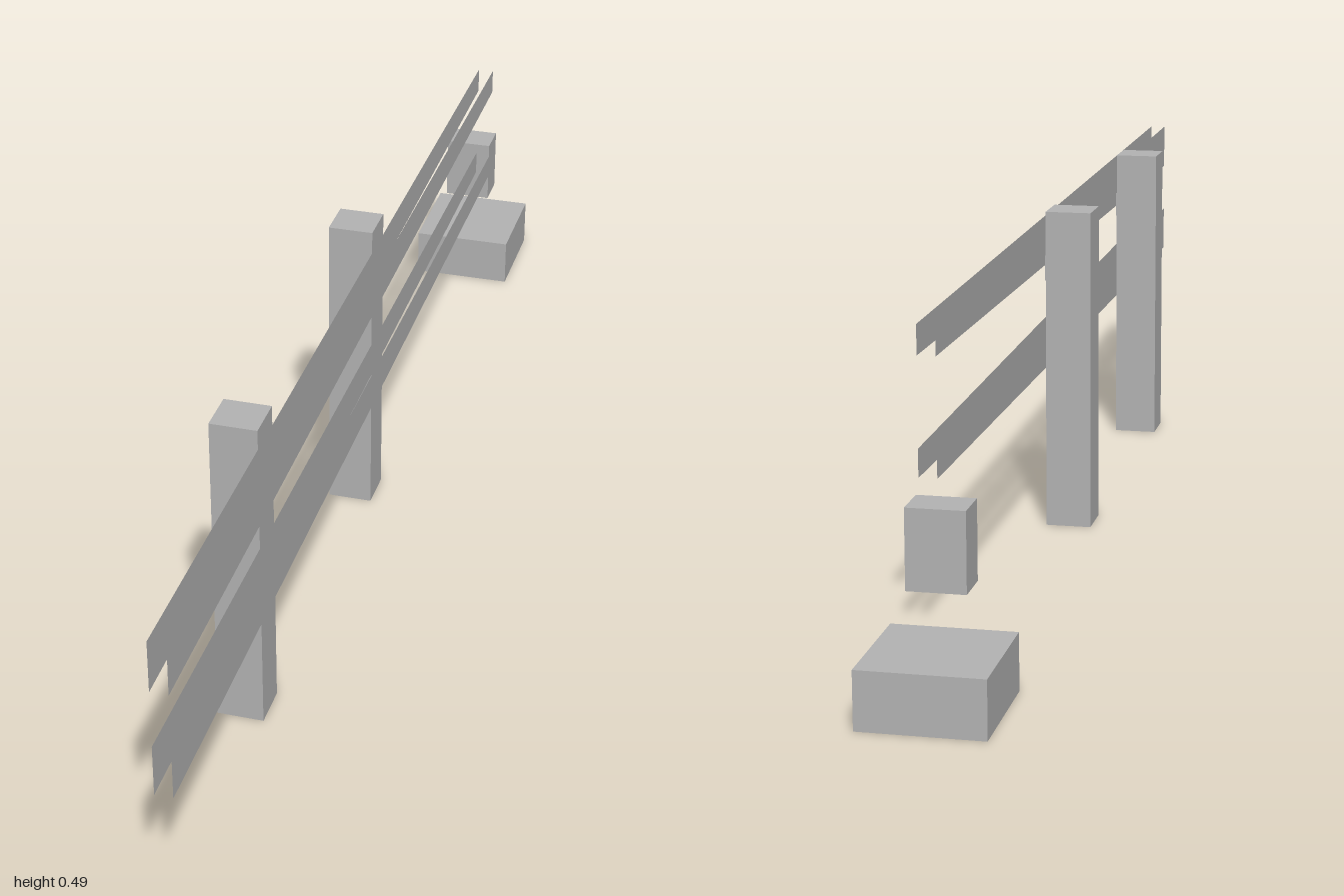
import * as THREE from 'three';

export function createModel() {
  const model = new THREE.Group();
  model.name = 'fence';
  const grey = new THREE.MeshStandardMaterial({ color: 0xb2b2b2, side: THREE.DoubleSide });
  grey.name = 'plain grey';

  function add(name, geometry) {
    const mesh = new THREE.Mesh(geometry, grey);
    mesh.name = name;
    model.add(mesh);
  }

  // Box given by its limits; an open one has no underside
  function block(name, [x0, x1], [y0, y1], [z0, z1], open = false) {
    const g = new THREE.BoxGeometry(x1 - x0, y1 - y0, z1 - z0);
    if (open) {
      const index = Array.from(g.index.array);
      index.splice(18, 6);
      g.setIndex(index);
      g.clearGroups();
    }
    g.translate((x0 + x1) / 2, (y0 + y1) / 2, (z0 + z1) / 2);
    add(name, g);
  }

  // Hollow posts, each with a small bracket behind the upper rail
  for (const [i, z] of [0.513, -0.076].entries()) {
    block(`post${i + 1}`, [-0.035, 0.034], [0, 0.491], [z - 0.033, z + 0.033], true);
    block(`bracket${i + 1}`, [0.034, 0.037], [0.384, 0.422], [z - 0.024, z + 0.024]);
  }

  // Tapering rails, each a pair of upright sheets open at the edges and ends
  const rails = [
    ['upperRail', 0.395, 0.471, 0.415, 0.456],
    ['lowerRail', 0.235, 0.311, 0.254, 0.293],
  ];
  for (const [name, frontLow, frontHigh, backLow, backHigh] of rails) {
    for (const [sheet, x] of [['Inner', 0.037], ['Outer', 0.062]]) {
      const outline = new THREE.Shape([
        new THREE.Vector2(-1, frontLow),
        new THREE.Vector2(0.76, backLow),
        new THREE.Vector2(0.76, backHigh),
        new THREE.Vector2(-1, frontHigh),
      ]);
      const g = new THREE.ShapeGeometry(outline);
      g.rotateY(Math.PI / 2);
      g.translate(x, 0, 0);
      add(name + sheet, g);
    }
  }

  // Hollow footing and the separate block above it
  block('footing', [-0.084, 0.084], [0, 0.079], [-1, -0.826], true);
  block('raisedBlock', [-0.039, 0.039], [0.154, 0.261], [-0.915, -0.858]);

  return model;
}
